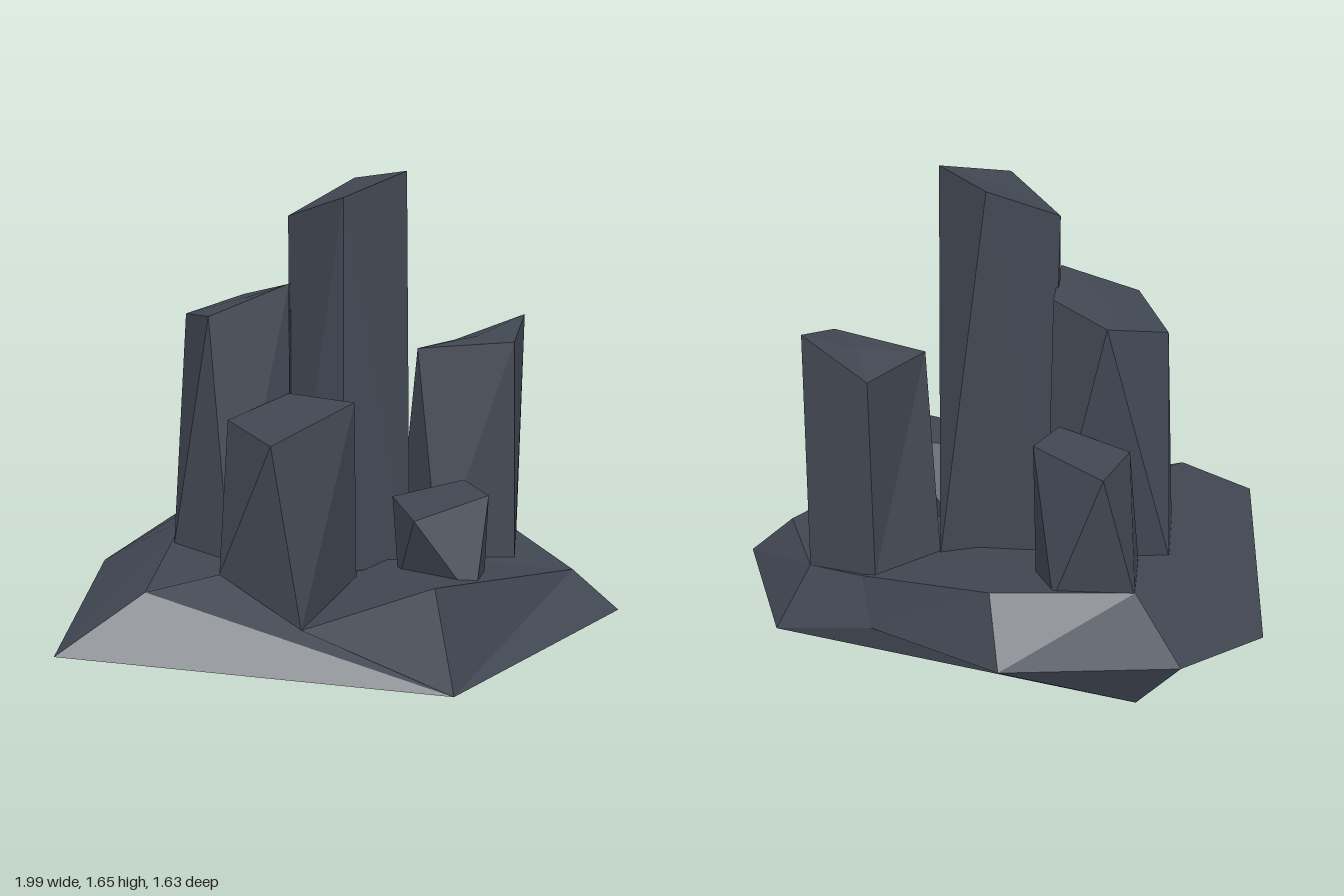
import * as THREE from 'three';

const TAU = Math.PI * 2;
const wrap = (t) => ((t % TAU) + TAU) % TAU;

// Sort a ring of [x, y, z] corners by angle around a centre
function sortRing(ring, cx, cz) {
  return ring
    .map((p) => ({ p, t: wrap(Math.atan2(p[2] - cz, p[0] - cx)) }))
    .sort((u, v) => u.t - v.t);
}

// Join two rings, with any number of corners each, by a band of triangles
function stitch(out, lower, upper, cx, cz) {
  const a = sortRing(lower, cx, cz);
  let b = sortRing(upper, cx, cz);
  const t0 = a[0].t;
  const rel = (t) => wrap(t - t0 + Math.PI) - Math.PI;
  let s = 0;
  b.forEach((v, k) => { if (Math.abs(rel(v.t)) < Math.abs(rel(b[s].t))) s = k; });
  b = [...b.slice(s), ...b.slice(0, s)];
  const b0 = rel(b[0].t);
  const ta = a.map((v) => v.t - t0).concat(TAU);
  const tb = b.map((v) => b0 + wrap(v.t - b[0].t)).concat(b0 + TAU);
  const A = (i) => a[i % a.length].p;
  const B = (j) => b[j % b.length].p;
  let i = 0, j = 0;
  while (i < a.length || j < b.length) {
    if (j >= b.length || (i < a.length && ta[i + 1] <= tb[j + 1])) {
      out.push(A(i), B(j), A(i + 1));
      i++;
    } else {
      out.push(A(i), B(j), B(j + 1));
      j++;
    }
  }
}

// Close a ring with a fan around a hub point
function cap(out, ring, hub, up) {
  const r = sortRing(ring, hub[0], hub[2]).map((v) => v.p);
  r.forEach((p, k) => {
    const q = r[(k + 1) % r.length];
    if (up) out.push(hub, q, p);
    else out.push(hub, p, q);
  });
}

function centre(ring) {
  return [0, 1, 2].map((k) => ring.reduce((sum, p) => sum + p[k], 0) / ring.length);
}

function makeMesh(name, corners, material) {
  const geo = new THREE.BufferGeometry();
  geo.setAttribute('position', new THREE.Float32BufferAttribute(corners.flat(), 3));
  geo.computeVertexNormals();
  const mesh = new THREE.Mesh(geo, material);
  mesh.name = name;
  return mesh;
}

// Stone column: a buried foot ring and a slanted top ring
function column(name, foot, top, material) {
  const out = [];
  const c = centre(top);
  const low = foot.map(([x, z, y = 0.25]) => [x, y, z]);
  stitch(out, low, top, c[0], c[2]);
  cap(out, top, c, true);
  return makeMesh(name, out, material);
}

export function createModel() {
  const group = new THREE.Group();
  group.name = 'rockFormation';
  const stone = new THREE.MeshStandardMaterial({ color: 0x414752, flatShading: true });
  stone.name = 'darkSlate';

  // Base slab: underside, outer rim, plateau edge
  const under = [[0.41, 0, 0.69], [-0.82, 0, 0.5], [-0.6, 0, -0.67], [0.74, 0, -0.44]];
  const rim = [
    [0.99, 0.07, 0.01], [0.41, 0, 0.69], [-0.89, 0.14, 0.81], [-1, 0.09, -0.31],
    [-0.75, 0.19, -0.74], [-0.16, 0.15, -0.82], [0.36, 0.09, -0.52], [0.74, 0, -0.44],
  ];
  const plateau = [
    [0.82, 0.22, 0.01], [0.34, 0.345, 0.61], [-0.1, 0.19, 0.63], [-0.4, 0.32, 0.47],
    [-0.62, 0.31, 0.64], [-0.65, 0.31, -0.18], [-0.57, 0.33, -0.52], [-0.1, 0.36, -0.67],
    [0.41, 0.25, -0.44], [0.62, 0.24, -0.38],
  ];
  const slab = [];
  cap(slab, under, [0, 0, 0], false);
  stitch(slab, under, rim, 0, 0);
  stitch(slab, rim, plateau, 0, 0);
  cap(slab, plateau, [0.1, 0.26, 0], true);
  group.add(makeMesh('baseSlab', slab, stone));

  // Columns: foot corners as [x, z, y], top corners as [x, y, z]
  group.add(column('tallColumn',
    [[0.17, -0.25], [0.23, 0.1], [0, 0.21], [-0.2, 0.13], [-0.22, -0.18]],
    [[0, 1.61, -0.23], [0.2, 1.65, -0.06], [0, 1.58, 0.2], [-0.22, 1.49, -0.04]], stone));
  group.add(column('leftColumn',
    [[-0.65, -0.18, 0.3], [-0.63, 0.11, 0.3], [-0.4, 0.25], [-0.2, 0.12], [-0.22, -0.25]],
    [[-0.61, 1.12, -0.11], [-0.42, 1.17, -0.27], [-0.22, 1.23, -0.17],
      [-0.2, 1.27, 0.11], [-0.47, 1.165, 0.2]], stone));
  group.add(column('frontColumn',
    [[-0.4, 0.47, 0.32], [-0.1, 0.63, 0.19], [0.05, 0.25], [-0.3, 0.15]],
    [[-0.4, 0.81, 0.25], [-0.2, 0.88, 0.12], [0.05, 0.9, 0.33], [-0.2, 0.81, 0.6]], stone));
  group.add(column('rightColumn',
    [[0.17, -0.24], [0.33, 0], [0.61, -0.07, 0.23], [0.62, -0.38, 0.23], [0.36, -0.44]],
    [[0.37, 0.98, -0.43], [0.63, 1.1, -0.33], [0.59, 1.04, -0.08], [0.24, 1, -0.14]], stone));
  group.add(column('smallColumn',
    [[0.18, 0.03], [0.2, 0.27], [0.47, 0.42, 0.23], [0.5, 0.18, 0.23]],
    [[0.42, 0.565, 0.07], [0.51, 0.585, 0.33], [0.26, 0.51, 0.41], [0.17, 0.52, 0.15]], stone));
  group.add(column('backColumn',
    [[-0.57, -0.52, 0.31], [-0.3, -0.58, 0.31], [-0.21, -0.4], [-0.22, -0.25], [-0.55, -0.22]],
    [[-0.46, 0.76, -0.58], [-0.21, 0.82, -0.48], [-0.26, 0.8, -0.25], [-0.51, 0.74, -0.28]], stone));

  return group;
}
